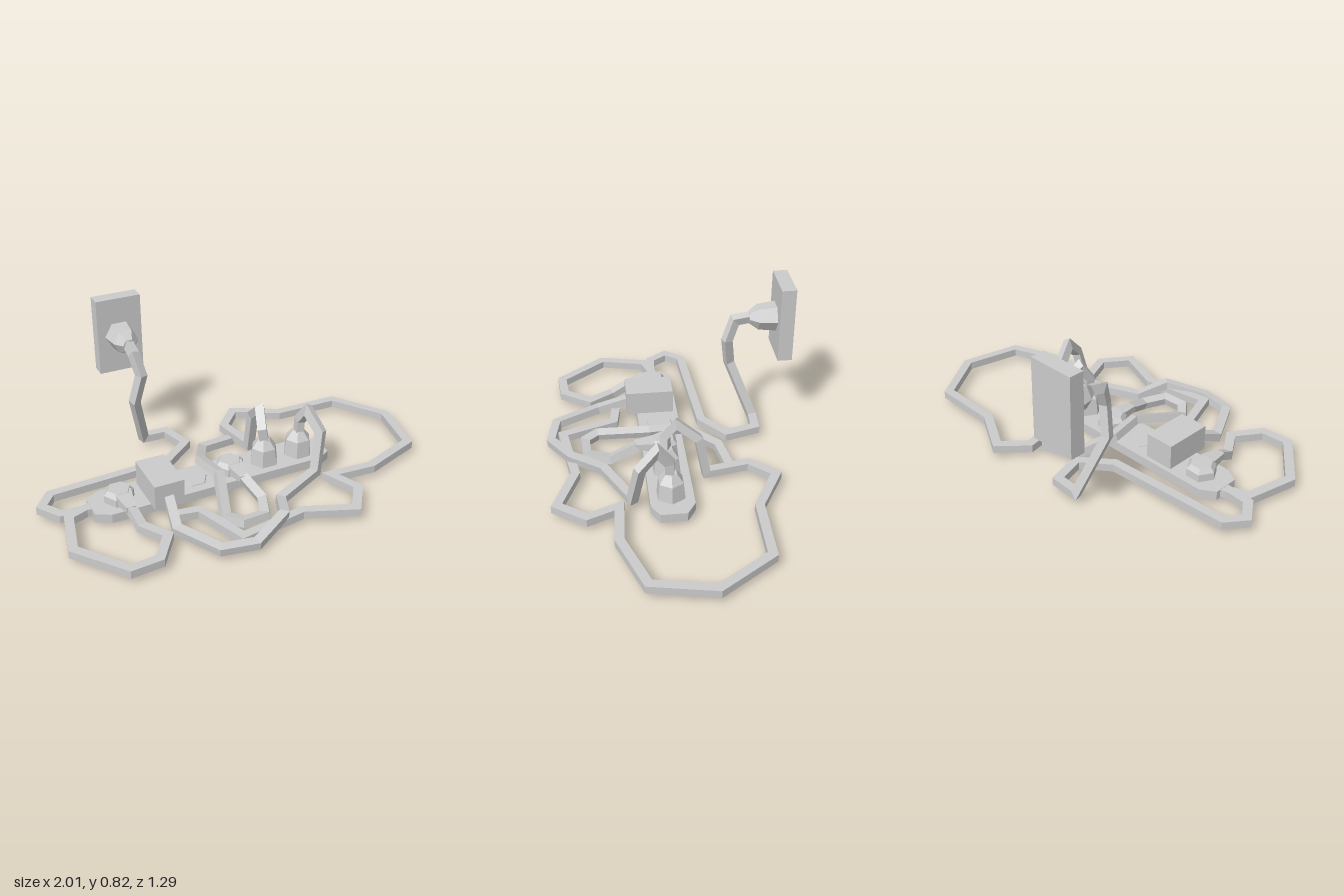
import * as THREE from 'three';

const material = new THREE.MeshStandardMaterial({ color: 0xcccccc, flatShading: true });

function add(parent, name, geometry, x = 0, y = 0, z = 0) {
  const mesh = new THREE.Mesh(geometry, material);
  mesh.name = name;
  mesh.position.set(x, y, z);
  parent.add(mesh);
  return mesh;
}

// Square cord with mitred corners: the first profile is slid along each
// segment onto the bisecting plane of the next corner.
function cordGeometry(points, w = 0.045, h = 0.04) {
  const p = points.map(([x, y, z]) => new THREE.Vector3(x, y, z));
  const dir = p.slice(1).map((q, i) => q.clone().sub(p[i]).normalize());
  const side = dir[0].clone().cross(new THREE.Vector3(0, 1, 0)).normalize();
  const up = side.clone().cross(dir[0]);
  let ring = [[1, 1], [-1, 1], [-1, -1], [1, -1]].map(([a, b]) =>
    p[0].clone().addScaledVector(side, a * w / 2).addScaledVector(up, b * h / 2));
  const pos = ring.flatMap(v => v.toArray());
  const index = [0, 1, 2, 0, 2, 3];
  for (let i = 0; i < dir.length; i++) {
    const normal = dir[i].clone().add(dir[i + 1] ?? dir[i]).normalize();
    ring = ring.map(v => {
      const d = p[i + 1].clone().sub(v).dot(normal) / dir[i].dot(normal);
      return v.clone().addScaledVector(dir[i], d);
    });
    pos.push(...ring.flatMap(v => v.toArray()));
    for (let k = 0; k < 4; k++) {
      const a = i * 4 + k, b = i * 4 + (k + 1) % 4;
      index.push(a, a + 4, b, b, a + 4, b + 4);
    }
  }
  const e = dir.length * 4;
  index.push(e, e + 2, e + 1, e, e + 3, e + 2);
  const g = new THREE.BufferGeometry();
  g.setAttribute('position', new THREE.Float32BufferAttribute(pos, 3));
  g.setIndex(index);
  const flat = g.toNonIndexed();
  flat.computeVertexNormals();
  return flat;
}

// Six-sided solid from a [radius, height] profile, corners pointing along x
function hexGeometry(profile) {
  return new THREE.LatheGeometry(profile.map(([r, y]) => new THREE.Vector2(r, y)), 6, Math.PI / 6);
}

// Points lying on the floor, given as [x, z]
const floor = (...list) => list.map(([x, z]) => [x, 0.05, z]);

export function createModel() {
  const model = new THREE.Group();
  model.name = 'powerStrip';

  // Strip body with clipped corners
  const outline = new THREE.Shape([
    [-0.77, -0.015], [-0.70, -0.06], [0.42, -0.06], [0.49, -0.015],
    [0.49, 0.115], [0.42, 0.155], [-0.70, 0.155], [-0.77, 0.115],
  ].map(([x, z]) => new THREE.Vector2(x, -z)));
  const body = new THREE.ExtrudeGeometry(outline, { depth: 0.047, bevelEnabled: false });
  body.rotateX(-Math.PI / 2);
  add(model, 'stripBody', body, 0, 0.025, 0);

  // Empty outlet
  add(model, 'emptyOutlet', hexGeometry([[0, 0], [0.075, 0], [0.07, 0.01], [0, 0.01]]), -0.24, 0.068, 0.045);

  // Upright plugs and the wall plug share one profile
  const plugProfile = [[0, 0], [0.077, 0], [0.066, 0.095], [0.032, 0.14], [0, 0.14]];
  for (const x of [0.15, 0.345]) add(model, 'uprightPlug', hexGeometry(plugProfile), x, 0.065, 0.05);

  // Flat plugs with a tapered neck toward the front
  for (const x of [-0.625, -0.04]) {
    const plug = new THREE.Group();
    plug.name = 'flatPlug';
    plug.position.set(x, 0.07, 0.045);
    add(plug, 'flatPlugBody', hexGeometry([[0, 0], [0.077, 0], [0.075, 0.04], [0.055, 0.063], [0, 0.063]]));
    const neck = new THREE.CylinderGeometry(0.033, 0.065, 0.13, 4, 1, false, Math.PI / 4);
    neck.rotateX(Math.PI / 2).scale(1, 0.6, 1);
    add(plug, 'flatPlugNeck', neck, 0.008, 0.033, 0.085);
    model.add(plug);
  }

  // Adapter block
  add(model, 'adapter', new THREE.BoxGeometry(0.15, 0.13, 0.248), -0.43, 0.135, 0.086);

  // Wall outlet and its plug
  add(model, 'wallPlate', new THREE.BoxGeometry(0.235, 0.4, 0.075), -0.3625, 0.62, -0.6075);
  const wallPlug = add(model, 'wallPlug', hexGeometry(plugProfile), -0.365, 0.62, -0.572);
  wallPlug.rotation.x = Math.PI / 2;

  // Cords, each starting from its end on the floor
  const cords = {
    wallCord: [
      ...floor([-0.75, 0.045], [-0.91, 0.035], [-0.975, -0.06], [-0.91, -0.145], [-0.28, -0.18],
        [-0.135, -0.297], [-0.18, -0.455], [-0.305, -0.46]),
      [-0.385, 0.35, -0.34], [-0.35, 0.5, -0.32], [-0.37, 0.605, -0.36], [-0.365, 0.62, -0.44],
    ],
    leftCord: [
      ...floor([-0.76, 0.03], [-0.885, 0.075], [-0.94, 0.315], [-0.755, 0.55], [-0.615, 0.54],
        [-0.52, 0.40], [-0.6, 0.275]),
      [-0.615, 0.1, 0.18],
    ],
    middleCord: [
      [0.13, 0.022, -0.28], [-0.065, 0.04, -0.24], [-0.155, 0.1, -0.06], [-0.13, 0.11, 0.11],
      ...floor([-0.22, 0.375], [-0.16, 0.445], [-0.045, 0.44], [0.003, 0.32]),
      [-0.03, 0.1, 0.18],
    ],
    rightLoopCord: [
      ...floor([-0.43, 0.265], [-0.31, 0.285], [-0.215, 0.555], [0.12, 0.50], [0.36, 0.595],
        [0.46, 0.455], [0.395, 0.3], [0.63, 0.315], [0.92, 0.21], [0.98, -0.09],
        [0.80, -0.355], [0.46, -0.36], [0.235, -0.485], [0.125, -0.365], [0.165, -0.145]),
      [0.165, 0.26, -0.105], [0.15, 0.345, 0], [0.135, 0.265, 0.055], [0.15, 0.19, 0.055],
    ],
    adapterCord: [
      [-0.43, 0.12, 0.19], [-0.46, 0.05, 0.36], [-0.34, 0.05, 0.585], [-0.175, 0.05, 0.615],
      [0.015, 0.085, 0.515], [0.08, 0.05, 0.36], [0.345, 0.06, 0.235],
      [0.385, 0.26, 0.2], [0.36, 0.345, 0.115], [0.35, 0.265, 0.055], [0.345, 0.19, 0.055],
    ],
  };
  for (const [name, points] of Object.entries(cords)) add(model, name, cordGeometry(points));

  return model;
}
